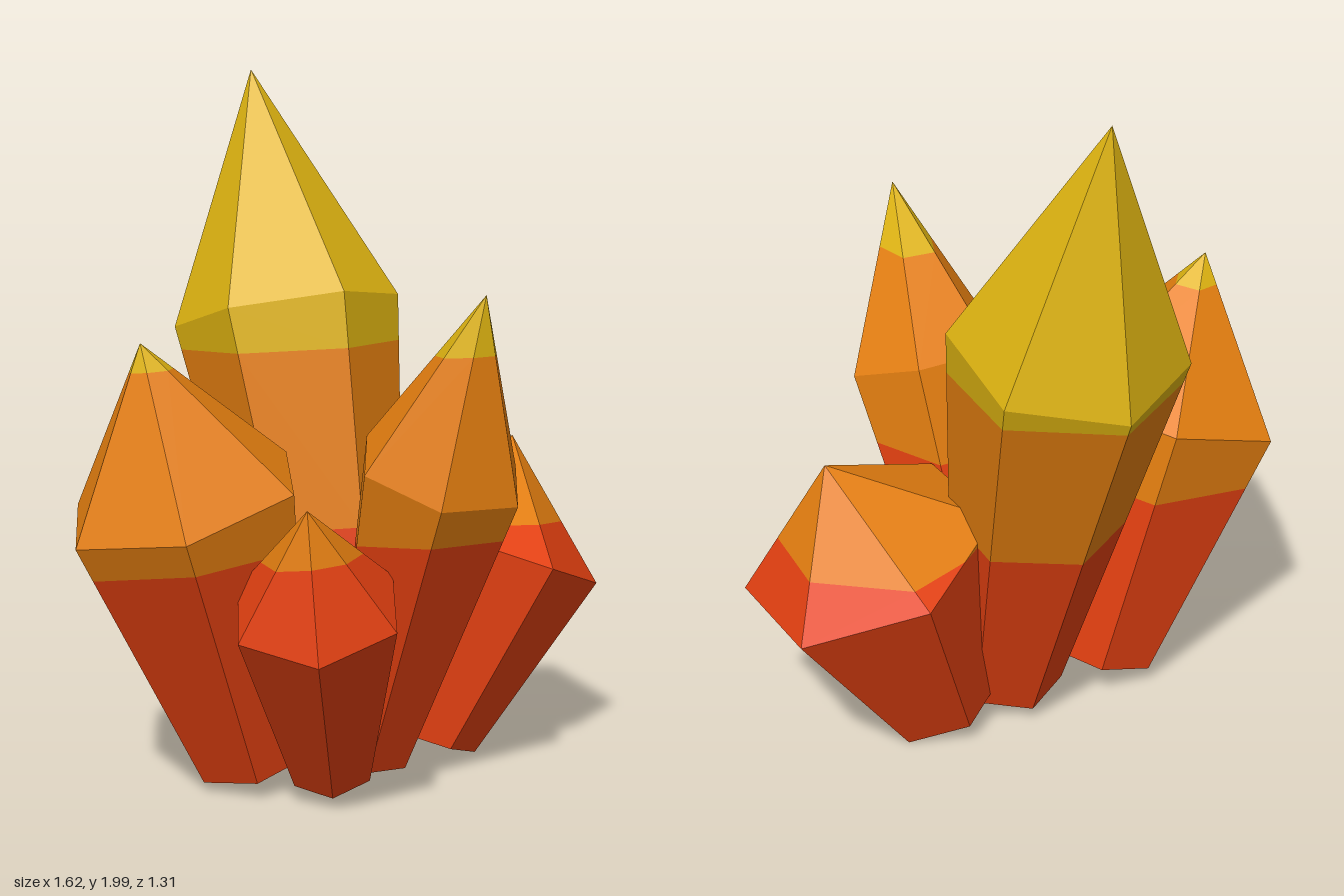
import * as THREE from 'three';

const SIDES = 6;
const SHOULDER = 0.635; // where the point begins, as a share of the length

const materials = [
  new THREE.MeshStandardMaterial({ name: 'deep red', color: 0xe54111, flatShading: true }),
  new THREE.MeshStandardMaterial({ name: 'amber orange', color: 0xe57f10, flatShading: true }),
  new THREE.MeshStandardMaterial({ name: 'golden yellow', color: 0xdfb411, flatShading: true }),
];
const bandNames = ['RedBase', 'OrangeMiddle', 'YellowTip'];

// Height above the two gently curved colour boundaries
const aboveRed = (p) => p.y - (0.72 + 0.1 * p.z - 0.1 * p.x * p.x);
const aboveOrange = (p) => p.y - (1.235 + 0.09 * p.z - 0.03 * p.x * p.x);

// Keep the part of a convex polygon where sign * field >= 0
function clip(poly, field, sign) {
  const out = [];
  poly.forEach((a, i) => {
    const b = poly[(i + 1) % poly.length];
    const fa = sign * field(a), fb = sign * field(b);
    if (fa >= 0) out.push(a);
    if (fa * fb < 0) out.push(a.clone().lerp(b, fa / (fa - fb)));
  });
  return out;
}

// Flat-shaded geometry from convex polygons
function polygonsToGeometry(polys) {
  const points = [];
  for (const p of polys) {
    for (let i = 1; i < p.length - 1; i++) points.push(p[0], p[i], p[i + 1]);
  }
  const geometry = new THREE.BufferGeometry().setFromPoints(points);
  geometry.computeVertexNormals();
  return geometry;
}

// Hexagonal crystal that widens from its base to a shoulder, then ends in a point
function crystal(name, base, tip, radius, corner) {
  const start = new THREE.Vector3(...base);
  const end = new THREE.Vector3(...tip);
  const axis = end.clone().sub(start).normalize();
  const u = new THREE.Vector3(...corner).projectOnPlane(axis).normalize();
  const w = axis.clone().cross(u);
  const ring = (center, r) => Array.from({ length: SIDES }, (_, i) => {
    const a = (i / SIDES) * Math.PI * 2;
    return center.clone().addScaledVector(u, r * Math.cos(a)).addScaledVector(w, r * Math.sin(a));
  });

  const low = ring(start, radius * 0.5);
  const high = ring(start.clone().lerp(end, SHOULDER), radius);
  const faces = [[...low].reverse()];
  for (let i = 0; i < SIDES; i++) {
    const j = (i + 1) % SIDES;
    faces.push([low[i], low[j], high[j], high[i]], [high[i], high[j], end]);
  }

  // One mesh for each colour band
  const bands = [
    faces.map((f) => clip(f, aboveRed, -1)),
    faces.map((f) => clip(clip(f, aboveRed, 1), aboveOrange, -1)),
    faces.map((f) => clip(f, aboveOrange, 1)),
  ];
  const group = new THREE.Group();
  group.name = name;
  bands.forEach((polys, k) => {
    const solid = polys.filter((p) => p.length > 2);
    if (!solid.length) return;
    const mesh = new THREE.Mesh(polygonsToGeometry(solid), materials[k]);
    mesh.name = name + bandNames[k];
    group.add(mesh);
  });
  return group;
}

export function createModel() {
  const model = new THREE.Group();
  model.name = 'crystalCluster';
  model.add(
    // name, base centre, tip, shoulder radius, direction of one corner
    crystal('tallBackCrystal', [0.08, 0.09, 0.01], [0.08, 2, -0.545], 0.333, [0, 0, 1]),
    crystal('leftCrystal', [0.302, 0.066, 0.02], [0.645, 0.93, 0.02], 0.378, [0, 0, 1]),
    crystal('rightCrystal', [-0.235, 0.08, 0], [-0.595, 1.305, 0.02], 0.35, [-1, 0, 0.03]),
    crystal('frontCrystal', [0.07, 0.085, 0.135], [0.112, 1.455, 0.63], 0.243, [1, 0, 0.05]),
    crystal('smallCrystal', [-0.123, 0.09, 0.238], [-0.379, 0.913, 0.53], 0.243, [-0.233, -0.065, -0.015]),
  );
  return model;
}
